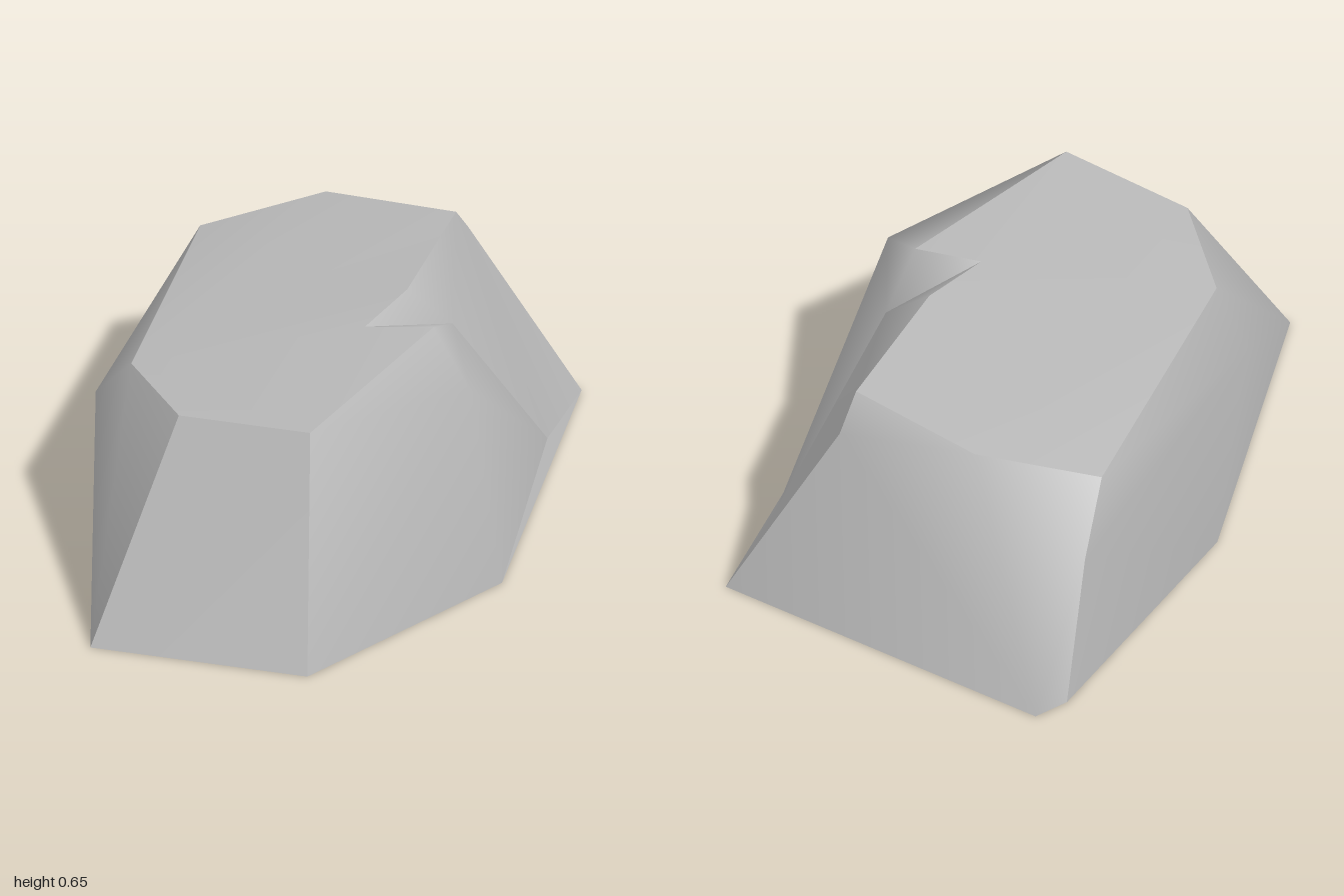
import * as THREE from 'three';

// Corner points of the boulder
const P = {
  // base rim
  frontRight: [0.78, 0, 0.69], frontTip: [0.23, 0, 1], sideBase: [-0.46, 0, 0.23],
  rearA: [-0.8, 0, -0.55], rearB: [-0.8, 0, -0.66], backTip: [0.2, 0, -1], rightBase: [0.8, 0, -0.07],
  // mid-height bends
  bulge: [-0.245, 0.43, 0.495], shoulder: [-0.67, 0.35, -0.39],
  backLip: [0, 0.55, -0.75], rightBend: [0.645, 0.55, -0.1],
  // top rim
  t0: [0.21, 0.59, 0.625], t1: [0.585, 0.625, 0.48], t2: [0.45, 0.653, -0.15],
  t3: [0.3, 0.645, -0.03], t4: [0.25, 0.655, -0.25], t5: [0.03, 0.645, -0.67],
  t6: [-0.36, 0.605, -0.545], t7: [-0.575, 0.525, -0.26], t8: [-0.115, 0.57, 0.485],
  // valley of the cleft
  cleftHigh: [0.36, 0.56, -0.32], cleftLow: [0.37, 0.04, -0.69],
};

// Smooth patch from triangles of named corners; edges between patches stay sharp
function patch(name, material, triangles) {
  const names = [...new Set(triangles.flatMap((t) => t.split(' ')))];
  const geometry = new THREE.BufferGeometry();
  geometry.setAttribute('position', new THREE.Float32BufferAttribute(names.flatMap((n) => P[n]), 3));
  geometry.setIndex(triangles.flatMap((t) => t.split(' ').map((n) => names.indexOf(n))));
  geometry.computeVertexNormals();
  const mesh = new THREE.Mesh(geometry, material);
  mesh.name = name;
  return mesh;
}

export function createModel() {
  const rock = new THREE.MeshStandardMaterial({ color: 0xb8b8b8, side: THREE.DoubleSide });
  rock.name = 'grey rock';

  const group = new THREE.Group();
  group.name = 'boulder';
  group.add(
    patch('frontFace', rock, ['frontTip frontRight t1', 'frontTip t1 t0']),
    patch('leftFace', rock, [
      'sideBase frontTip bulge', 'frontTip t0 t8', 'frontTip t8 bulge', 'bulge t8 t7',
      'bulge t7 shoulder', 'sideBase bulge shoulder', 'rearA sideBase shoulder',
    ]),
    patch('backFace', rock, [
      'backTip rearB backLip', 'backLip rearB t6', 'backLip t6 t5',
      'rearB rearA shoulder', 'rearB shoulder t7', 'rearB t7 t6',
    ]),
    patch('topFace', rock, [
      't8 t0 t1', 't8 t1 t3', 't1 t2 t3', 't8 t3 t4', 't8 t4 t5', 't8 t5 t6', 't8 t6 t7',
    ]),
    // far wall of the cleft
    patch('cleftWall', rock, [
      'cleftLow backTip backLip', 'cleftLow backLip t5', 'cleftLow t5 cleftHigh',
      'cleftHigh t5 t4', 'cleftHigh t4 t3',
    ]),
    // right side, wrapping into the cleft
    patch('rightFace', rock, [
      'frontRight rightBase rightBend', 'frontRight rightBend t1', 't1 rightBend t2',
      'rightBase cleftLow rightBend', 'rightBend cleftLow cleftHigh',
      'rightBend cleftHigh t2', 'cleftHigh t3 t2',
    ]),
    patch('cleftFoot', rock, ['rightBase backTip cleftLow']),
  );
  return group;
}
